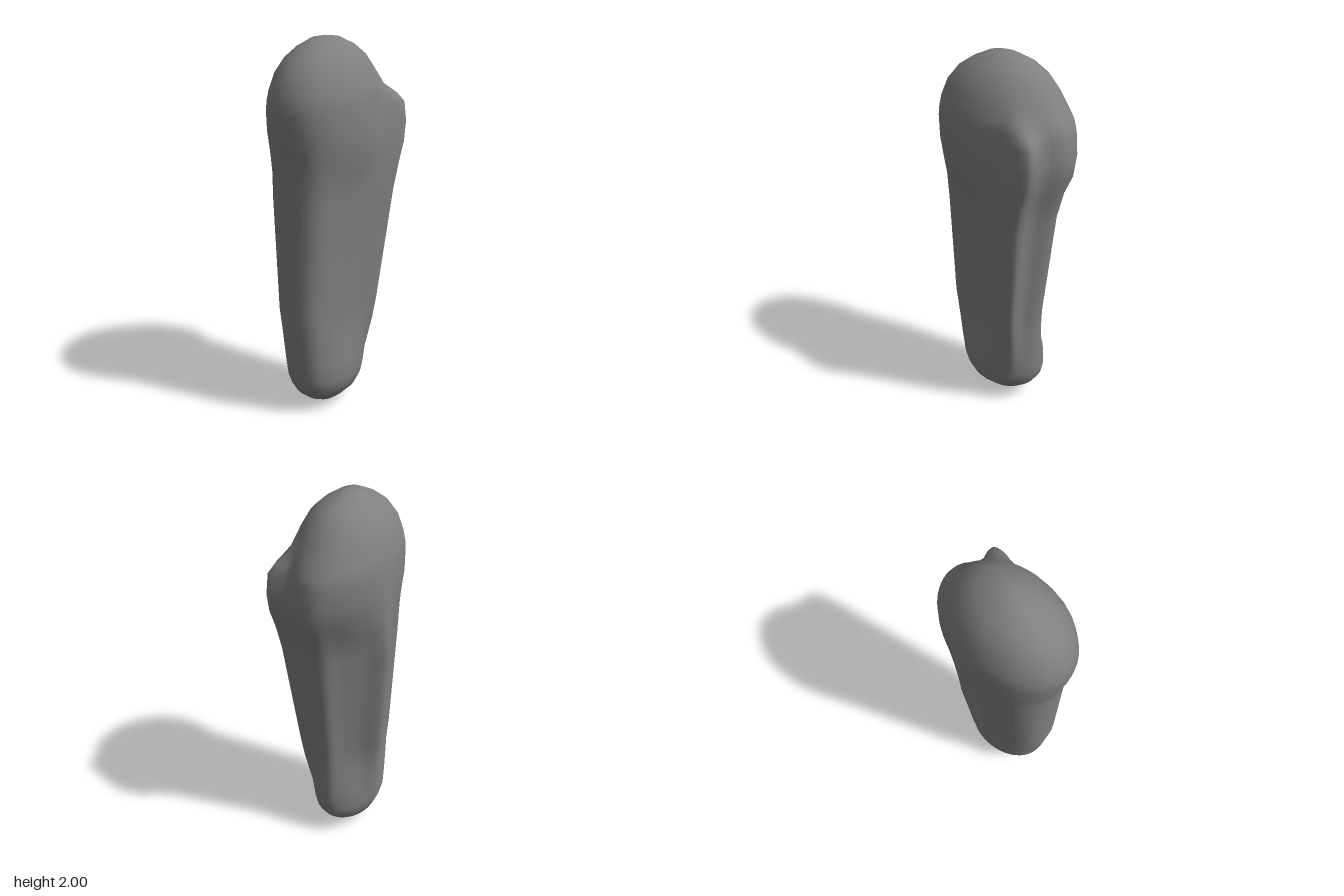
import * as THREE from 'three';

// Cross-sections, top to bottom: height, reach to -x, +x, +z, -z from the axis,
// how lobed the section is (0 = oval), and the same for its rear left corner.
const SECTIONS = [
  [2.0, 0, 0, 0, 0, 0, 0],
  [1.99, 0.06, 0.058, 0.085, 0.085, 0, 0],
  [1.95, 0.126, 0.122, 0.17, 0.18, 0, 0],
  [1.9, 0.175, 0.175, 0.245, 0.245, 0, 0],
  [1.83, 0.215, 0.215, 0.305, 0.298, 0, 0],
  [1.75, 0.24, 0.246, 0.338, 0.35, 0, 0.15],
  [1.7, 0.25, 0.255, 0.35, 0.385, 0.03, 0.8],
  [1.65, 0.254, 0.262, 0.355, 0.4, 0.06, 1.2],
  [1.55, 0.26, 0.276, 0.345, 0.415, 0.15, 1.1],
  [1.45, 0.26, 0.28, 0.325, 0.405, 0.35, 1],
  [1.35, 0.264, 0.275, 0.307, 0.36, 0.6, 1],
  [1.2, 0.265, 0.26, 0.305, 0.322, 0.9, 1],
  [0.6, 0.225, 0.21, 0.3, 0.25, 1, 0.9],
  [0.47, 0.21, 0.2, 0.285, 0.245, 0.85, 0.7],
  [0.3, 0.195, 0.188, 0.265, 0.25, 0.2, 0.1],
  [0.2, 0.185, 0.18, 0.25, 0.245, 0, 0],
  [0.15, 0.172, 0.17, 0.232, 0.234, 0, 0],
  [0.1, 0.15, 0.148, 0.2, 0.2, 0, 0],
  [0.05, 0.105, 0.1, 0.14, 0.14, 0, 0],
  [0.012, 0.055, 0.053, 0.072, 0.072, 0, 0],
  [0, 0, 0, 0, 0, 0, 0],
];

// Lobed shaft outline (x, z) in units of the reaches, from the front round by +x:
// front bar, rear left rim, back bar, right rim, with hollows between.
const LOBES = [
  [-0.08, 1], [0.35, 0.94], [0.56, 0.77], [0.7, 0.25], [0.86, -0.28], [1, -0.69],
  [0.92, -0.84], [0.51, -0.84], [0.2, -1], [-0.08, -0.98], [-0.31, -0.72], [-0.63, -0.45],
  [-0.92, -0.31], [-1, -0.21], [-0.88, 0], [-0.73, 0.3], [-0.69, 0.63], [-0.47, 0.89],
];
const SIDES = LOBES.length * 3;
const AXIS_X = -0.01, AXIS_Z = 0.03;

const outline = new THREE.CatmullRomCurve3(
  LOBES.map(([x, z]) => new THREE.Vector3(x, 0, z)), true, 'centripetal');

function sectionPoint([y, left, right, front, back, lobed, corner], j) {
  const p = outline.getPoint(j / SIDES);
  const size = p.length();
  const dx = p.x / size, dz = p.z / size;
  // The rear left corner follows its own weight.
  const inCorner = dx > 0 && dz < 0 ? 4 * dx * dx * dz * dz : 0;
  const weight = THREE.MathUtils.lerp(lobed, corner, inCorner);
  const r = THREE.MathUtils.lerp(1, size, weight);
  return [
    AXIS_X + dx * r * (dx > 0 ? right : left),
    y,
    AXIS_Z + dz * r * (dz > 0 ? front : back),
  ];
}

// Skin the cross-sections into one smooth closed surface.
function loftGeometry() {
  const positions = [], index = [];
  const last = SECTIONS.length - 1;
  SECTIONS.forEach((section, i) => {
    for (let j = 0; j < SIDES; j++) {
      positions.push(...sectionPoint(section, j));
      if (i === last) continue;
      const next = (j + 1) % SIDES;
      const a = i * SIDES + j, b = i * SIDES + next;
      const c = a + SIDES, d = b + SIDES;
      // The pole rings need a single triangle per side.
      if (i === 0) index.push(a, c, d);
      else index.push(a, c, b);
      if (i > 0 && i < last - 1) index.push(b, c, d);
    }
  });
  const geometry = new THREE.BufferGeometry();
  geometry.setAttribute('position', new THREE.Float32BufferAttribute(positions, 3));
  geometry.setIndex(index);
  geometry.computeVertexNormals();
  // Each pole shares one straight normal.
  const normals = geometry.attributes.normal;
  for (let j = 0; j < SIDES; j++) {
    normals.setXYZ(j, 0, 1, 0);
    normals.setXYZ(last * SIDES + j, 0, -1, 0);
  }
  return geometry;
}

export function createModel() {
  const group = new THREE.Group();
  const material = new THREE.MeshStandardMaterial({ color: 0x808080 });
  // Rounded limb segment with a wide upper joint and a narrow lower end
  const limb = new THREE.Mesh(loftGeometry(), material);
  limb.name = 'limbSegment';
  group.add(limb);
  return group;
}
